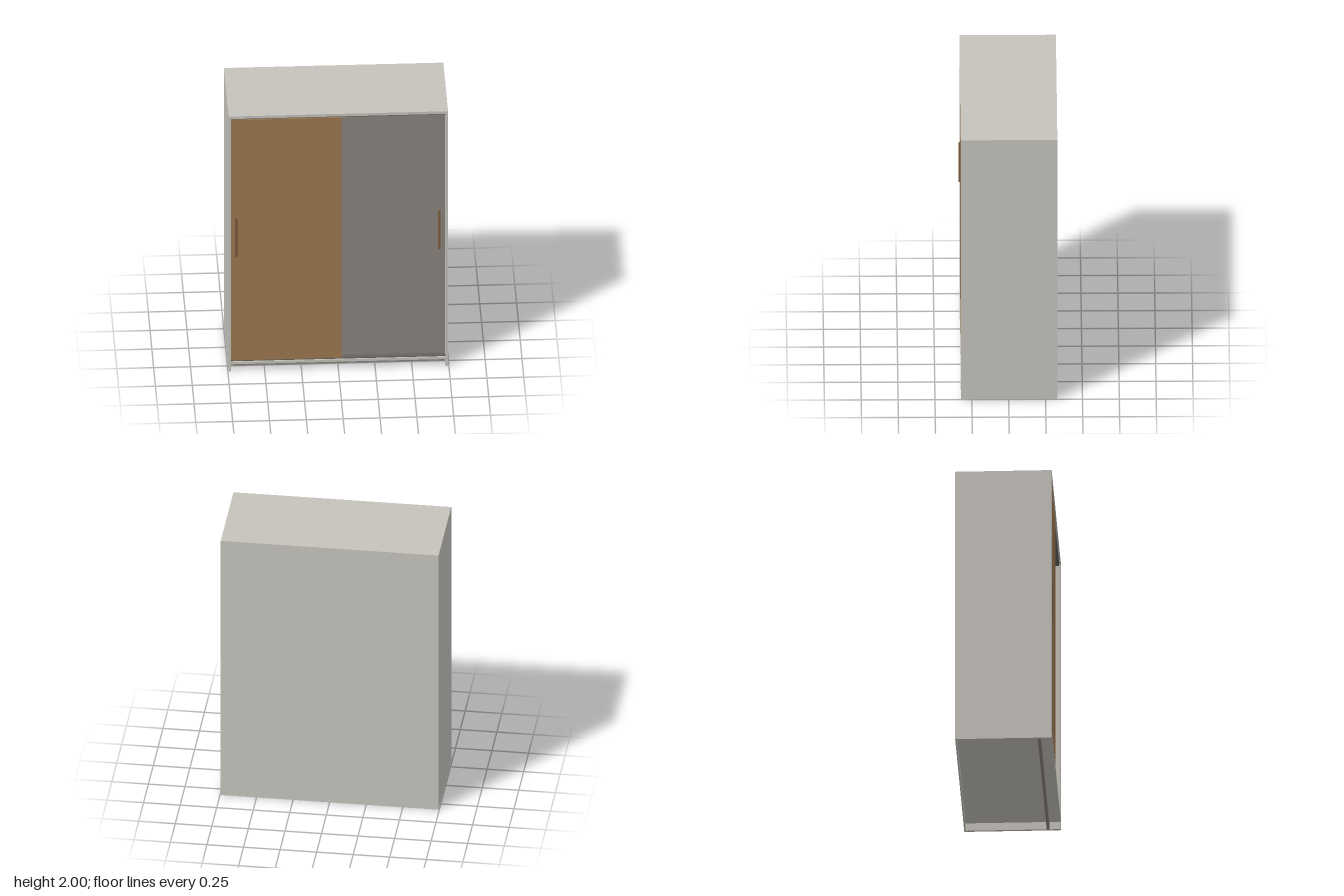
import * as THREE from 'three';

const material = (name, color) => {
  const m = new THREE.MeshStandardMaterial({ color });
  m.name = name;
  return m;
};

export function createModel() {
  const wardrobe = new THREE.Group();
  wardrobe.name = 'slidingWardrobe';

  const body = material('paleGreyBoard', 0xc6c3bc);
  const wood = material('brownWood', 0x9c784f);
  const grey = material('warmGreyBoard', 0x8a847f);
  const handleWood = material('darkWood', 0x7c5d3c);
  const track = material('darkTrack', 0x66625e);

  // Box given by its limits on each axis
  const box = (name, mat, [x0, x1], [y0, y1], [z0, z1]) => {
    const mesh = new THREE.Mesh(new THREE.BoxGeometry(x1 - x0, y1 - y0, z1 - z0), mat);
    mesh.position.set((x0 + x1) / 2, (y0 + y1) / 2, (z0 + z1) / 2);
    mesh.name = name;
    wardrobe.add(mesh);
  };

  const W = 0.745, T = 0.018, IN = W - T;
  const back = -0.33, front = 0.325;
  const inner = [-IN, IN];

  // Carcass
  box('leftSide', body, [IN, W], [0, 2], [back, front]);
  box('rightSide', body, [-W, -IN], [0, 2], [back, front]);
  box('topPanel', body, inner, [1.98, 2], [back, front]);
  box('bottomPanel', body, inner, [0.055, 0.073], [back + 0.01, front]);
  box('backPanel', body, inner, [0, 1.98], [back, back + 0.01]);
  box('plinth', grey, inner, [0, 0.055], [0.23, 0.248]);

  // Sliding tracks behind the front edges
  box('topTrack', track, inner, [1.97, 1.98], [0.25, 0.315]);
  box('bottomTrack', track, inner, [0.073, 0.08], [0.25, 0.315]);

  // Overlapping doors on two planes
  box('frontDoor', wood, [-IN, 0.02], [0.082, 1.968], [0.302, 0.32]);
  box('rearDoor', grey, [-0.02, IN], [0.082, 1.968], [0.262, 0.28]);

  // Slim upright pulls
  box('frontDoorHandle', handleWood, [-0.7, -0.682], [0.9, 1.2], [0.32, 0.33]);
  box('rearDoorHandle', handleWood, [0.677, 0.695], [0.9, 1.2], [0.28, 0.29]);

  return wardrobe;
}
